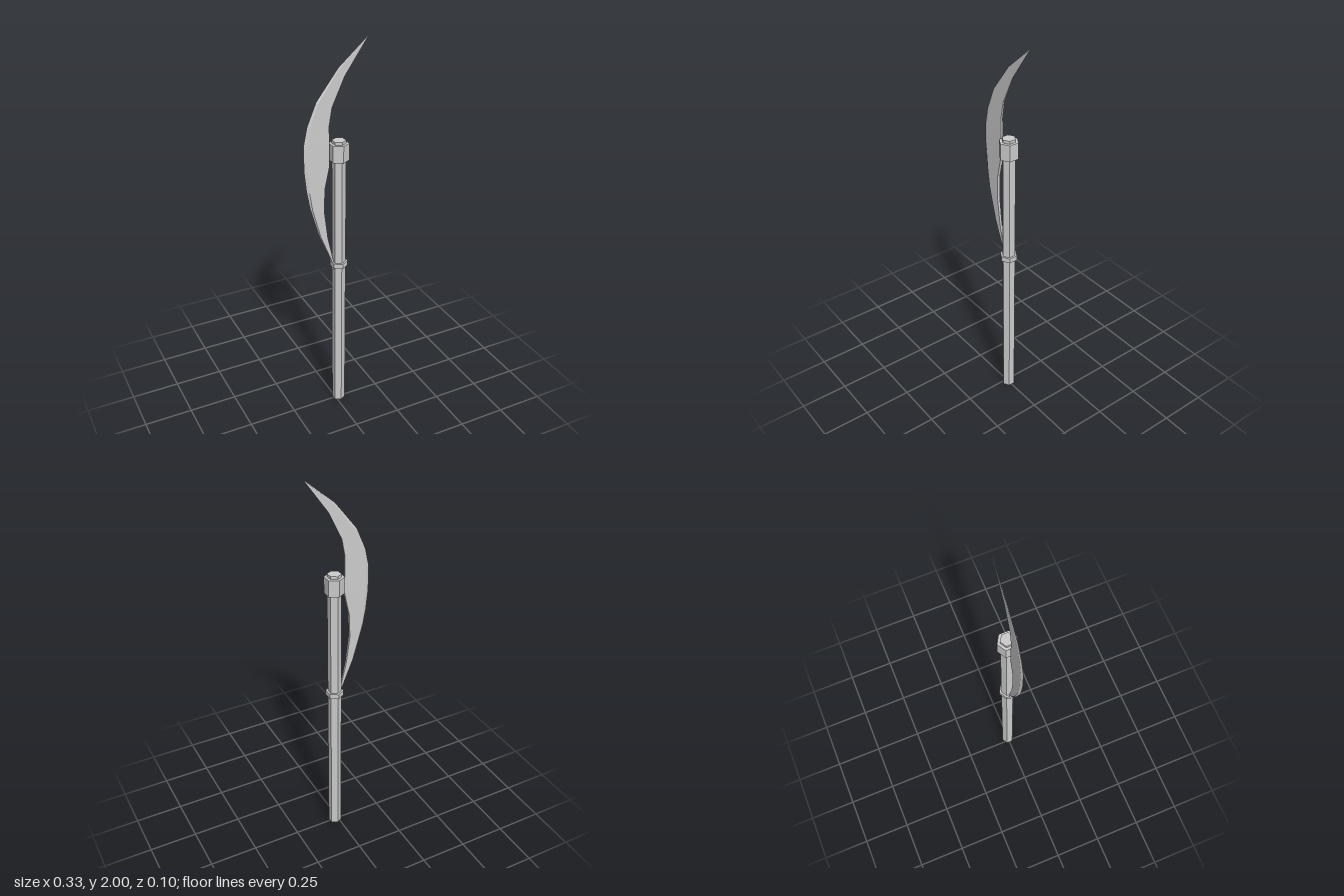
import * as THREE from 'three';

const material = new THREE.MeshStandardMaterial({ color: 0xcccccc, flatShading: true });
const POLE_X = 0.018;

// Hexagonal prism around the pole axis, corners pointing along z
function hexPrism(name, radius, bottom, top) {
  const mesh = new THREE.Mesh(new THREE.CylinderGeometry(radius, radius, top - bottom, 6), material);
  mesh.name = name;
  mesh.position.set(POLE_X, (bottom + top) / 2, 0);
  return mesh;
}

// Blade stations from tang to tip: cutting edge x, y, back edge x, y, half thickness
const STATIONS = [
  [-0.022, 0.83, -0.008, 0.83, 0.003],
  [-0.02, 0.874, -0.01, 0.866, 0.004],
  [-0.087, 1.033, -0.045, 1.023, 0.006],
  [-0.135, 1.197, -0.063, 1.166, 0.007],
  [-0.153, 1.295, -0.06, 1.287, 0.007],
  [-0.164, 1.4, -0.035, 1.404, 0.007],
  [-0.164, 1.526, -0.035, 1.53, 0.006],
  [-0.145, 1.616, -0.035, 1.605, 0.005],
  [-0.098, 1.727, -0.02, 1.69, 0.004],
  [0.013, 1.87, 0.045, 1.828, 0.002],
  [0.164, 2.0, 0.162, 1.994, 0.001],
];

// Cross-section: sharp edge, short bevel, flat faces, square back
function section([ox, oy, ix, iy, t]) {
  const at = (f, z) => [ox + (ix - ox) * f, oy + (iy - oy) * f, z];
  return [at(0, 0), at(0.13, t), at(1, t), at(1, -t), at(0.13, -t)];
}

function bladeGeometry() {
  const rings = STATIONS.map(section);
  const n = rings[0].length;
  const points = [];
  const tri = (a, b, c) => points.push(...a, ...b, ...c);
  for (let i = 0; i < rings.length - 1; i++) {
    const lo = rings[i], hi = rings[i + 1];
    for (let k = 0; k < n; k++) {
      const m = (k + 1) % n;
      tri(lo[k], lo[m], hi[m]);
      tri(lo[k], hi[m], hi[k]);
    }
  }
  // End caps
  const first = rings[0], last = rings[rings.length - 1];
  for (let k = 1; k < n - 1; k++) {
    tri(first[0], first[k + 1], first[k]);
    tri(last[0], last[k], last[k + 1]);
  }
  const geometry = new THREE.BufferGeometry();
  geometry.setAttribute('position', new THREE.Float32BufferAttribute(points, 3));
  geometry.computeVertexNormals();
  return geometry;
}

export function createModel() {
  const group = new THREE.Group();
  group.name = 'poleAxe';
  group.add(
    hexPrism('shaft', 0.034, 0, 1.525),
    hexPrism('topCollar', 0.049, 1.425, 1.51),
    hexPrism('lowerRing', 0.045, 0.848, 0.874),
  );
  const blade = new THREE.Mesh(bladeGeometry(), material);
  blade.name = 'blade';
  group.add(blade);
  return group;
}
